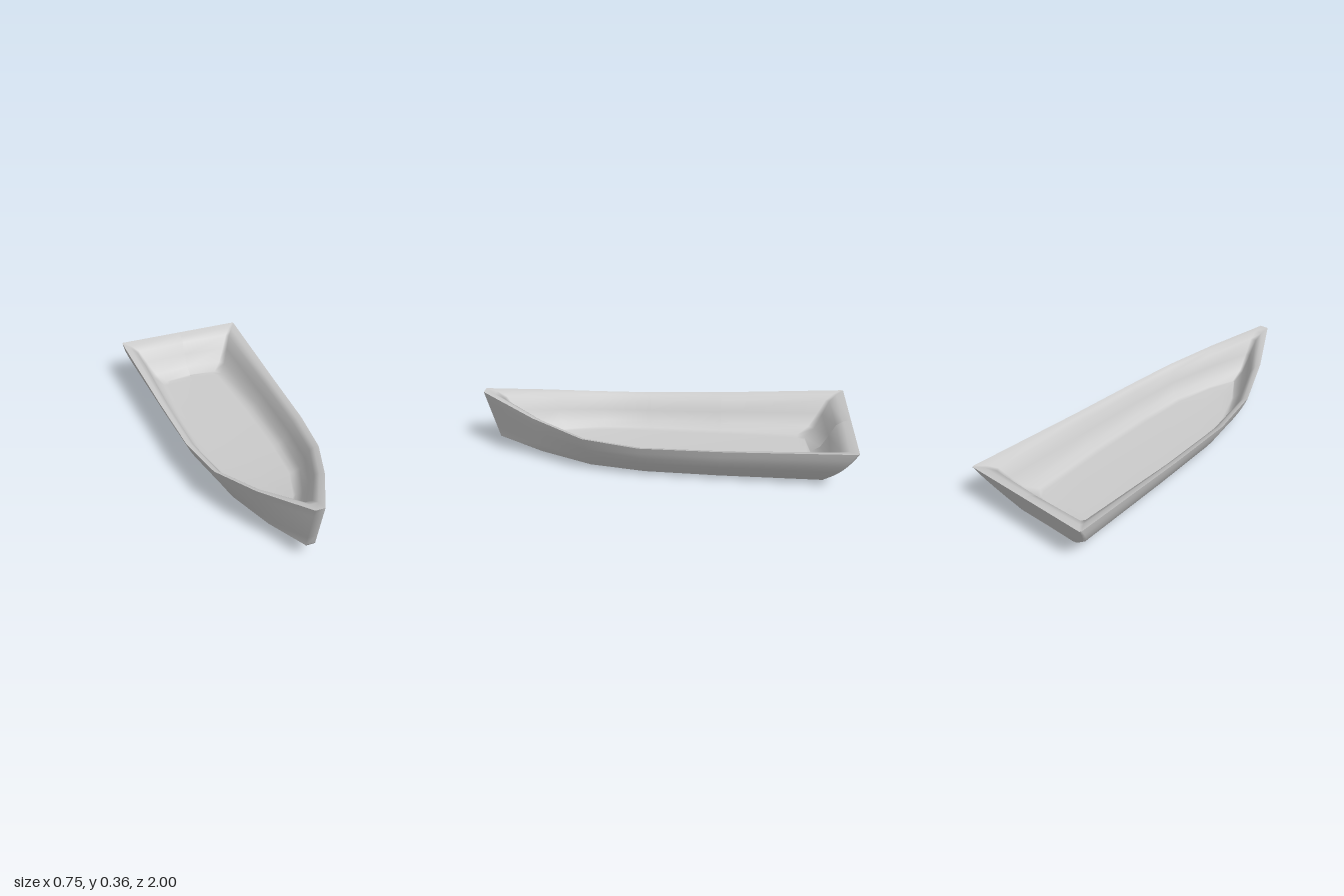
import * as THREE from 'three';
import { mergeVertices } from 'three/addons/utils/BufferGeometryUtils.js';

// Stations from bow to stern on one side: rim, keel edge and floor edge as [x, y, z],
// and how far the side bulges out.
const stations = [
  { rim: [0.025, 0.358, 1.0], keel: [0.025, 0.09, 0.93], floor: [0.006, 0.105, 0.7], bulge: 0 },
  { rim: [0.18, 0.288, 0.7], keel: [0.105, 0.045, 0.68], floor: [0.095, 0.085, 0.57], bulge: 0.05 },
  { rim: [0.29, 0.235, 0.42], keel: [0.175, 0.015, 0.4], floor: [0.18, 0.062, 0.37], bulge: 0.08 },
  { rim: [0.335, 0.217, 0.12], keel: [0.205, 0.004, 0.1], floor: [0.21, 0.05, 0.1], bulge: 0.12 },
  { rim: [0.352, 0.225, -0.3], keel: [0.213, 0.001, -0.3], floor: [0.215, 0.045, -0.3], bulge: 0.15 },
  { rim: [0.375, 0.253, -0.99], keel: [0.22, 0.004, -0.85], floor: [0.19, 0.05, -0.74], bulge: 0.2 },
  { rim: [0.37, 0.254, -1.0], keel: [0.2, 0.004, -0.875], floor: [0.16, 0.05, -0.78], bulge: 0.2 },
  { rim: [0.001, 0.254, -1.0], keel: [0.001, 0.004, -0.875], floor: [0.001, 0.05, -0.8], bulge: 0 },
];

const mix = (a, b, t) => a + (b - a) * t;

// Bottom, from the centreline out to the keel edge
const bottomLevels = [0, 0.9, 1].map((k) => ({ keel: [x, y, z] }) => [x * k, k < 1 ? y - 0.003 : y, z]);

// Outer side, from the keel edge up to the rim
const sideLevels = [0, 0.22, 0.43, 0.63, 0.82, 1].map((t) => ({ keel, rim, bulge }) => [
  mix(keel[0], rim[0], t + bulge * 4 * t * (1 - t)),
  mix(keel[1], rim[1], t),
  mix(keel[2], rim[2], t),
]);

// Inside, over a soft lip, down the wall and across the floor to the centreline
const insideLevels = [[0, 0], [0.2, 0.05], [0.38, 0.17], [0.55, 0.5], [0.75, 0.85], [1, 1]].map(
  ([across, down]) => ({ rim, floor }) => [
    mix(rim[0], floor[0], across),
    mix(rim[1], floor[1], down),
    mix(rim[2], floor[2], across),
  ]);
for (const k of [0.85, 0]) {
  insideLevels.push(({ floor: [x, y, z] }) => [x * k, y - 0.006, z]);
}

// Skin the closed rings made by running every level round both sides of the boat
function skin(name, levels, material) {
  const positions = [];
  const index = [];
  const count = stations.length * 2;
  for (const level of levels) {
    const half = stations.map(level);
    const mirrored = half.map(([x, y, z]) => [-x, y, z]).reverse();
    positions.push(...half.flat(), ...mirrored.flat());
  }
  for (let row = 0; row < levels.length - 1; row++) {
    for (let i = 0; i < count; i++) {
      const a = row * count + i;
      const b = row * count + ((i + 1) % count);
      index.push(a, b, b + count, a, b + count, a + count);
    }
  }
  let geometry = new THREE.BufferGeometry();
  geometry.setAttribute('position', new THREE.Float32BufferAttribute(positions, 3));
  geometry.setIndex(index);
  geometry = mergeVertices(geometry, 1e-4);
  geometry.computeVertexNormals();
  const mesh = new THREE.Mesh(geometry, material);
  mesh.name = name;
  return mesh;
}

export function createModel() {
  const boat = new THREE.Group();
  boat.name = 'rowingBoat';
  const material = new THREE.MeshStandardMaterial({ color: 0xcccccc, side: THREE.DoubleSide });
  boat.add(
    skin('hullBottom', bottomLevels, material),
    skin('hullSides', sideLevels, material),
    skin('hullInside', insideLevels, material),
  );
  // Rest the hull on the ground
  boat.position.y = -new THREE.Box3().setFromObject(boat).min.y;
  return boat;
}
